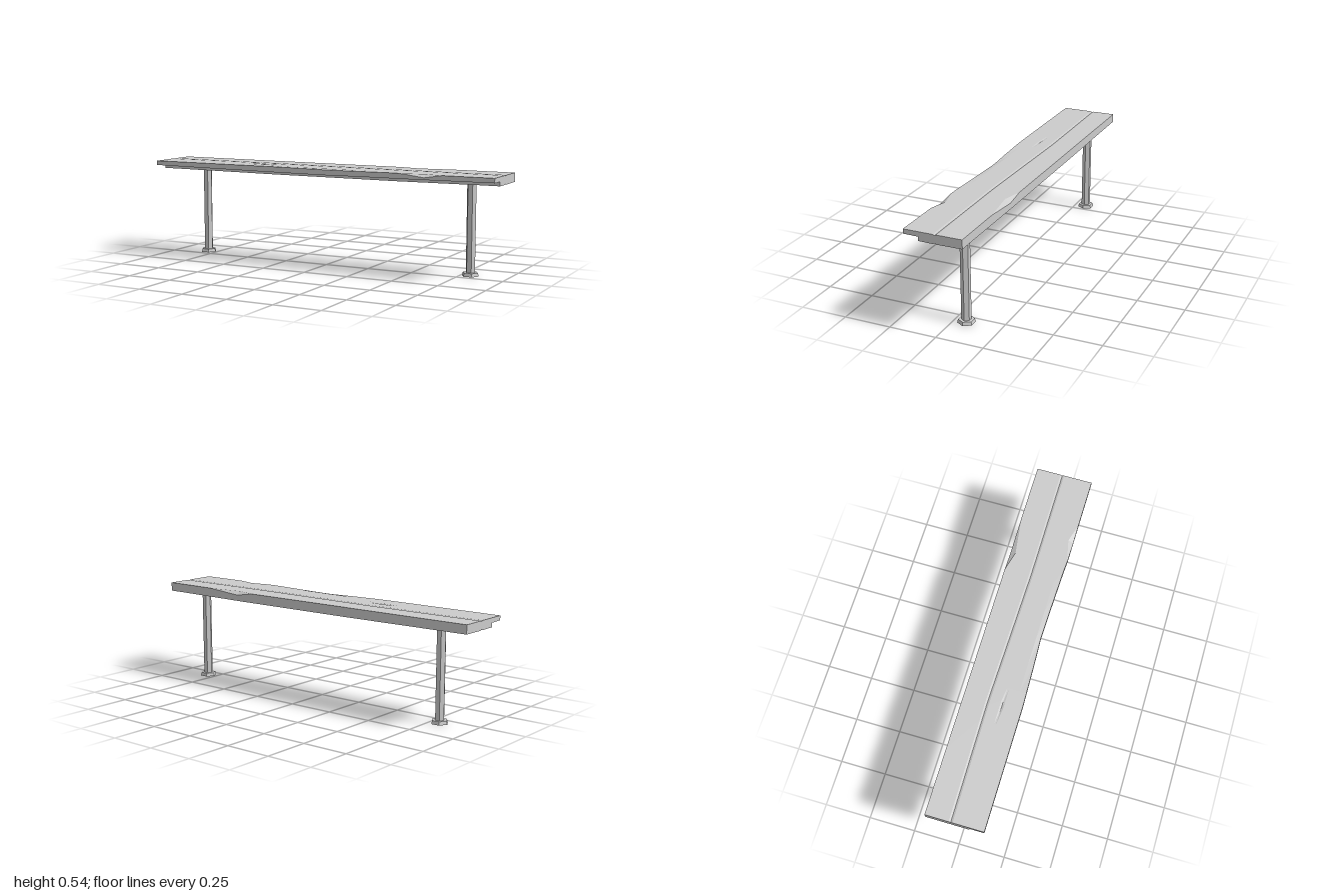
import * as THREE from 'three';

const material = new THREE.MeshStandardMaterial({ color: 0xcccccc, flatShading: true });

// Piecewise linear curve through [x, value] pairs
function along(x, keys) {
  if (x <= keys[0][0]) return keys[0][1];
  for (let i = 1; i < keys.length; i++) {
    const [x0, v0] = keys[i - 1], [x1, v1] = keys[i];
    if (x <= x1) return v0 + (v1 - v0) * (x - x0) / (x1 - x0);
  }
  return keys[keys.length - 1][1];
}

// Cross-section of the worn seat at x, as [z, y], counterclockwise seen from +x
function section(x) {
  const top = 0.535, back = -0.153;
  const bottom = along(x, [[-0.9, 0.488], [-0.3, 0.485], [0.45, 0.485], [0.9, 0.488]]);
  const lip = along(x, [[-1, 0.511], [-0.42, 0.507], [0.05, 0.503], [0.32, 0.506], [1, 0.511]]);
  const front = along(x, [[-0.33, 0.153], [-0.1, 0.145], [0.05, 0.138], [0.2, 0.141], [0.45, 0.149], [0.52, 0.153]]);
  const sag = along(x, [[-0.2, 0], [0.05, 0.004], [0.2, 0.003], [0.45, 0]]);
  const groove = along(x, [[-1, -0.019], [-0.65, -0.023], [-0.35, -0.026], [0, -0.018], [0.4, -0.01], [1, -0.012]]);
  const frontChip = along(x, [[0.5, 0], [0.63, 1], [0.73, 0]]);
  const backChip = along(x, [[0.37, 0], [0.48, 1], [0.69, 0]]);
  const dent = along(x, [[-0.46, 0], [-0.37, 0.004], [-0.26, 0]]);
  return [
    [front, lip], [0.075, lip - 0.001],
    [0.075, bottom], [groove + 0.01, bottom - 0.001], [groove, bottom + 0.004], [groove - 0.01, bottom - 0.001],
    [back, bottom], [back, top - 0.018 * backChip], [back + 0.028 * backChip, top],
    [groove - 0.01, top], [groove, top - 0.004], [groove + 0.01, top],
    [0.04, top], [0.05, top - dent], [0.06, top], [0.115, top],
    [front - 0.028 * frontChip, top - sag], [front, top - sag - 0.016 * frontChip],
  ];
}

// Seat: sections joined along x, with both ends closed
function seatGeometry() {
  const stations = [-1, -0.65, -0.46, -0.37, -0.33, -0.26, -0.1, 0.05, 0.2, 0.32,
    0.37, 0.45, 0.48, 0.52, 0.63, 0.69, 0.73, 0.9, 1];
  const rings = stations.map((x) => section(x).map(([z, y]) => new THREE.Vector3(x, y, z)));
  const points = [];
  for (let s = 0; s < rings.length - 1; s++) {
    const n = rings[s].length;
    for (let i = 0; i < n; i++) {
      const j = (i + 1) % n;
      const a = rings[s][i], b = rings[s][j], c = rings[s + 1][j], d = rings[s + 1][i];
      points.push(a, b, c, a, c, d);
    }
  }
  for (const [ring, flip] of [[rings[0], true], [rings[rings.length - 1], false]]) {
    const outline = ring.map((p) => new THREE.Vector2(-p.z, p.y));
    for (const [a, b, c] of THREE.ShapeUtils.triangulateShape(outline, [])) {
      points.push(ring[a], ring[flip ? c : b], ring[flip ? b : c]);
    }
  }
  const geometry = new THREE.BufferGeometry().setFromPoints(points);
  geometry.computeVertexNormals();
  return geometry;
}

// Hexagonal prism with corners pointing along x
function hexagon(name, topRadius, bottomRadius, y0, y1) {
  const geometry = new THREE.CylinderGeometry(topRadius, bottomRadius, y1 - y0, 6, 1, false, Math.PI / 6);
  const mesh = new THREE.Mesh(geometry, material);
  mesh.name = name;
  mesh.position.y = (y0 + y1) / 2;
  return mesh;
}

export function createModel() {
  const bench = new THREE.Group();
  bench.name = 'bench';

  const seat = new THREE.Mesh(seatGeometry(), material);
  seat.name = 'seat';
  bench.add(seat);

  // Two posts on flared feet, set behind the middle
  for (const side of [1, -1]) {
    const leg = new THREE.Group();
    leg.name = side > 0 ? 'leftLeg' : 'rightLeg';
    leg.add(hexagon('post', 0.025, 0.025, 0.01, 0.49));
    leg.add(hexagon('foot', 0.041, 0.0456, 0, 0.018));
    leg.position.set(side * 0.803, 0, -0.065);
    bench.add(leg);
  }
  return bench;
}
